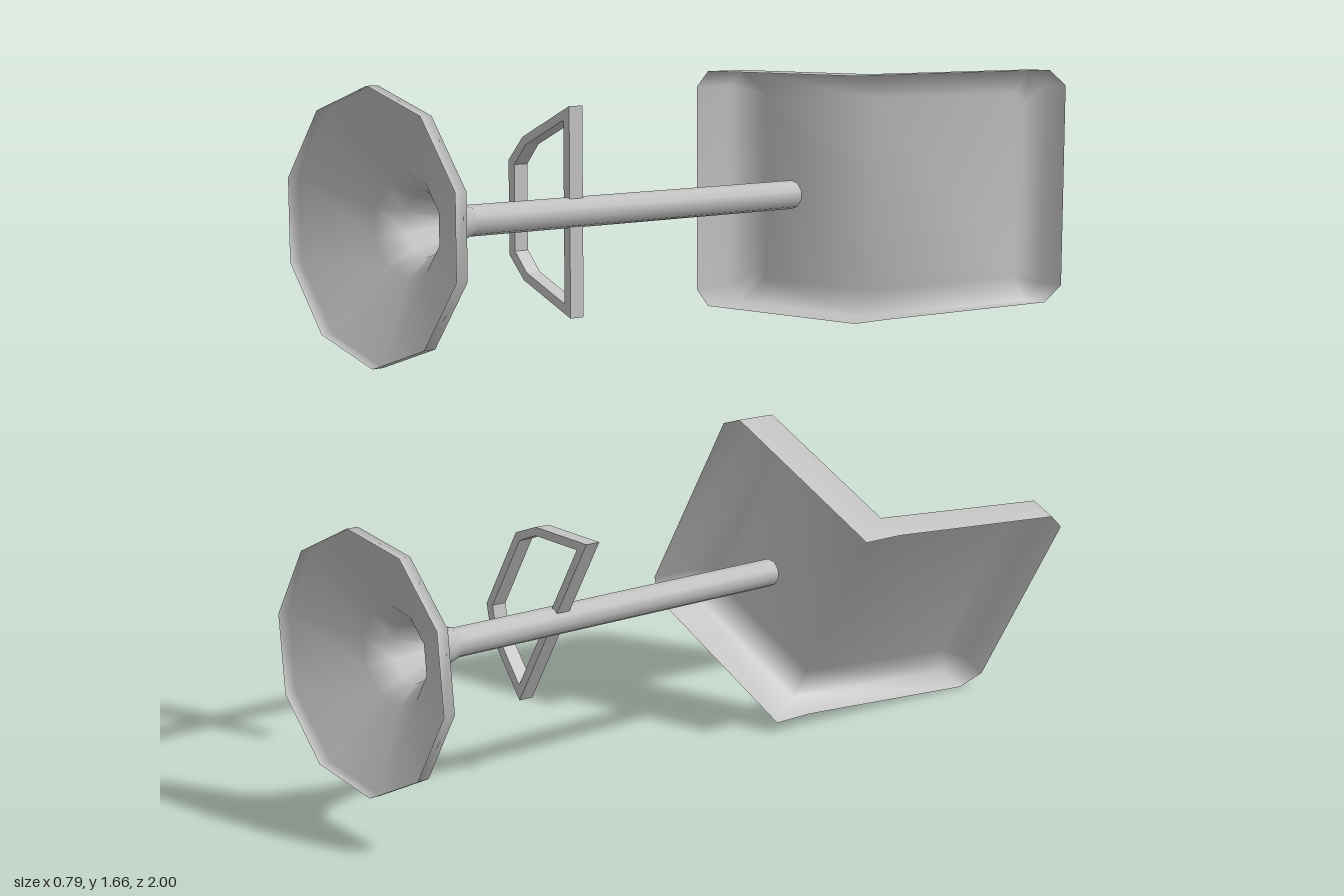
import * as THREE from 'three';
import { mergeVertices } from 'three/addons/utils/BufferGeometryUtils.js';

const grey = new THREE.MeshStandardMaterial({ color: 0xc0c0c0, side: THREE.DoubleSide });
grey.name = 'grey';

function part(name, geometry) {
  const mesh = new THREE.Mesh(geometry, grey);
  mesh.name = name;
  return mesh;
}

// Hollow ten-sided trumpet foot
function baseGeometry() {
  const profile = [[0.3, 0], [0.3, 0.03], [0.115, 0.1], [0.073, 0.15], [0.035, 0.27]];
  return new THREE.LatheGeometry(profile.map(([r, h]) => new THREE.Vector2(r, h)), 10);
}

// Flat footrest loop whose rear bar runs through the pole
function footrestGeometry() {
  const loop = (half) => [...half, ...half.slice().reverse().map(([x, y]) => [x, -y])]
    .map(([x, y]) => new THREE.Vector2(x, y));
  const shape = new THREE.Shape(loop([[0.01, 0.24], [-0.15, 0.165], [-0.2, 0.11]]));
  shape.holes.push(new THREE.Path(loop([[-0.01, 0.208], [-0.14, 0.147], [-0.18, 0.1]])));
  const geometry = new THREE.ExtrudeGeometry(shape, { depth: 0.04, bevelEnabled: false });
  return geometry.rotateX(Math.PI / 2).translate(0, 0.6, 0);
}

// Seat and backrest in one L-shaped shell, open below and behind.
// Three nested outlines (rim, bend, face), each half given as x, height, half width.
function shellGeometry() {
  const halves = [
    [[-0.3, 1.27, 0.255], [-0.26, 1.27, 0.295], [0.24, 1.27, 0.295],
      [0.24, 1.39, 0.295], [0.29, 1.94, 0.295], [0.295, 2, 0.255]],
    [[-0.3, 1.39, 0.255], [-0.26, 1.39, 0.295], [0.17, 1.39, 0.295],
      [0.17, 1.39, 0.295], [0.222, 1.94, 0.295], [0.23, 2, 0.255]],
    [[-0.24, 1.43, 0.21], [-0.21, 1.43, 0.235], [0.15, 1.43, 0.235],
      [0.15, 1.43, 0.235], [0.2, 1.92, 0.235], [0.205, 1.95, 0.21]],
  ];
  const positions = [];
  for (const half of halves) {
    const mirrored = half.slice().reverse().map(([x, h, w]) => [x, h, -w]);
    positions.push(...half.flat(), ...mirrored.flat());
  }
  const n = 12;
  const index = [];
  const quad = (a, b, c, d) => index.push(a, b, c, a, c, d);
  for (let ring = 0; ring < 2; ring++) {
    for (let i = 0; i < n; i++) {
      const a = ring * n + i;
      const b = ring * n + (i + 1) % n;
      quad(a, b, b + n, a + n);
    }
  }
  // Cushion face from the front edge up to the top edge
  for (const i of [0, 1, 3, 4]) quad(24 + i, 25 + i, 34 - i, 35 - i);
  let geometry = new THREE.BufferGeometry();
  geometry.setAttribute('position', new THREE.Float32BufferAttribute(positions, 3));
  geometry.setIndex(index);
  geometry = mergeVertices(geometry);
  geometry.computeVertexNormals();
  return geometry;
}

function createStool(name) {
  const upright = new THREE.Group();
  upright.name = 'stoolParts';
  const pole = new THREE.CylinderGeometry(0.035, 0.035, 1.03, 10, 1, true).translate(0, 0.785, 0);
  upright.add(
    part('base', baseGeometry()),
    part('pole', pole),
    part('footrest', footrestGeometry()),
    part('seatShell', shellGeometry()),
  );
  // Lay the stool along z with its foot at the front
  upright.rotation.x = -Math.PI / 2;
  upright.position.z = 1;
  const stool = new THREE.Group();
  stool.name = name;
  stool.add(upright);
  return stool;
}

export function createModel() {
  const model = new THREE.Group();
  model.name = 'barStools';
  const upper = createStool('upperStool');
  upper.position.set(0.06, 1.37, 0);
  const lower = createStool('lowerStool');
  lower.position.set(-0.01, 0.41, 0);
  lower.rotation.z = -Math.PI / 6;
  model.add(upper, lower);
  return model;
}
